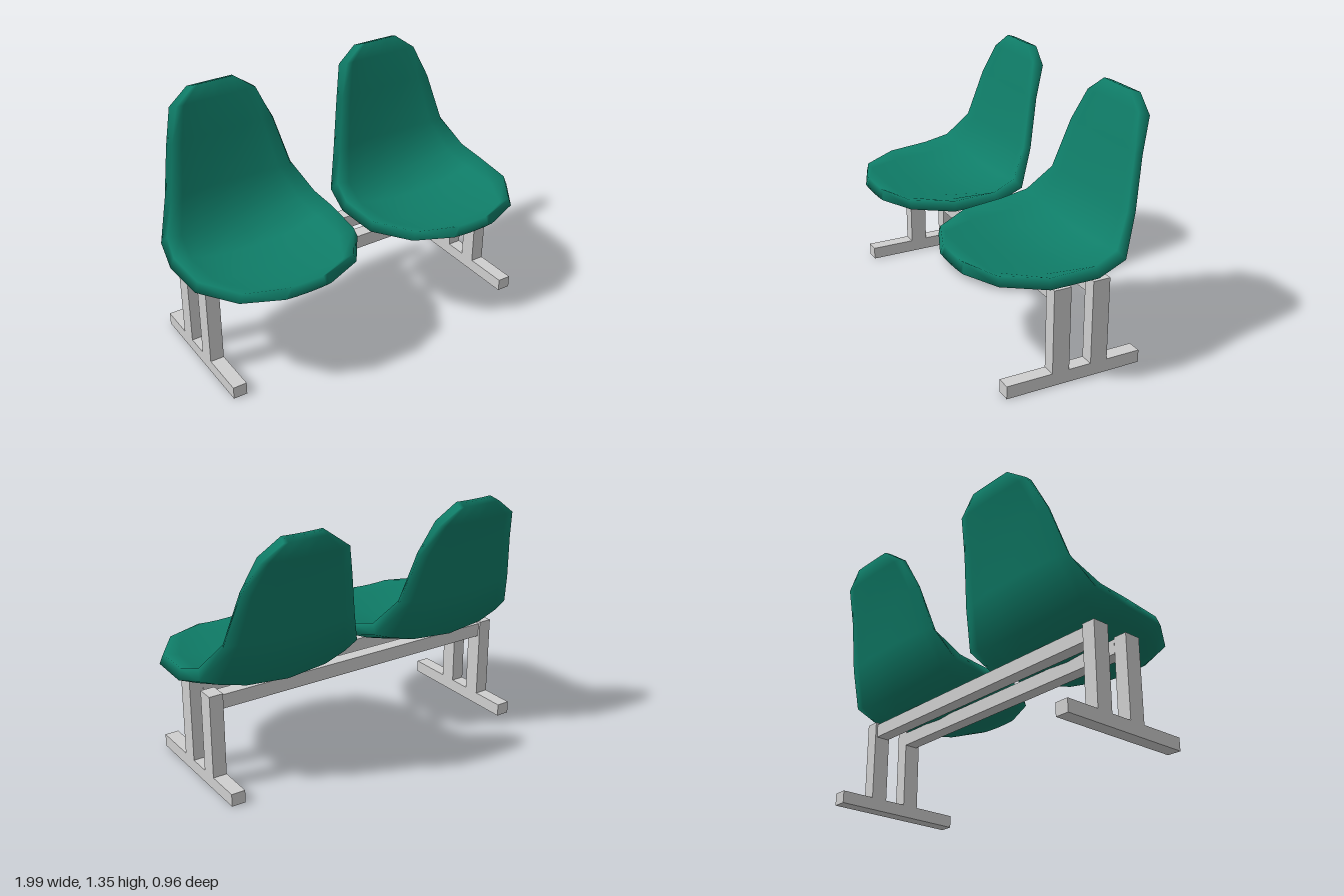
import * as THREE from 'three';

const green = new THREE.MeshStandardMaterial({ color: 0x0f7d68 });
green.name = 'green plastic';
const grey = new THREE.MeshStandardMaterial({ color: 0xcfcfcf });
grey.name = 'light grey metal';

// Shell stations from the front lip to the top of the back:
// half width, rim [z, y], inner centre [z, y], outer centre [z, y], rim drop towards outer
const STATIONS = [
  [0.13, [0.468, 0.62], [0.468, 0.615], [0.478, 0.56], 0.9],
  [0.335, [0.39, 0.62], [0.39, 0.60], [0.395, 0.54], 0.6],
  [0.47, [0.19, 0.625], [0.19, 0.565], [0.21, 0.51], 0.45],
  [0.485, [-0.04, 0.64], [-0.05, 0.545], [-0.07, 0.485], 0.37],
  [0.455, [-0.175, 0.68], [-0.225, 0.605], [-0.28, 0.555], 0.4],
  [0.372, [-0.28, 0.82], [-0.312, 0.815], [-0.35, 0.82], 0.5],
  [0.31, [-0.35, 1.09], [-0.365, 1.085], [-0.402, 1.07], 0.6],
  [0.245, [-0.405, 1.26], [-0.415, 1.255], [-0.47, 1.24], 0.8],
  [0.13, [-0.426, 1.345], [-0.428, 1.343], [-0.48, 1.325], 0.95],
];
const ACROSS = [-1, -0.8, -0.5, 0, 0.5, 0.8, 1];

function shellGeometry() {
  const n = ACROSS.length, ring = 2 * n;
  const pos = [], idx = [];
  const mix = (a, b, t) => [a[0] + (b[0] - a[0]) * t, a[1] + (b[1] - a[1]) * t];
  for (const [hw, rim, inner, outer, drop] of STATIONS) {
    const rimOuter = mix(rim, outer, drop);
    const bend = (u) => Math.pow(Math.abs(u), 2.2);
    for (const u of ACROSS) {
      const [z, y] = mix(inner, rim, bend(u));
      pos.push(u * (hw - 0.018), y, z);
    }
    for (const u of [...ACROSS].reverse()) {
      const [z, y] = mix(outer, rimOuter, bend(u));
      pos.push(u * hw, y, z);
    }
  }
  const quad = (a, b, c, d) => idx.push(a, b, c, a, c, d);
  const last = STATIONS.length - 1;
  for (let i = 0; i < last; i++) {
    for (let j = 0; j < ring; j++) {
      const k = (j + 1) % ring, a = i * ring, b = a + ring;
      quad(a + j, a + k, b + k, b + j);
    }
  }
  // front lip and top edge
  for (let k = 0; k < n - 1; k++) {
    const o = ring - 1 - k, e = last * ring;
    quad(o, o - 1, k + 1, k);
    quad(e + k, e + k + 1, e + o - 1, e + o);
  }
  const g = new THREE.BufferGeometry();
  g.setAttribute('position', new THREE.Float32BufferAttribute(pos, 3));
  g.setIndex(idx);
  g.computeVertexNormals();
  return g;
}

function box(name, w, h, d, x, y, z) {
  const m = new THREE.Mesh(new THREE.BoxGeometry(w, h, d), grey);
  m.name = name;
  m.position.set(x, y, z);
  return m;
}

export function createModel() {
  const model = new THREE.Group();
  model.name = 'doubleSeatBench';

  // two seat shells
  const shell = shellGeometry();
  for (const side of [1, -1]) {
    const seat = new THREE.Mesh(shell, green);
    seat.name = side > 0 ? 'leftSeat' : 'rightSeat';
    seat.position.x = side * 0.512;
    model.add(seat);
  }

  // end frames: foot bar with two posts
  for (const side of [1, -1]) {
    const frame = new THREE.Group();
    frame.name = side > 0 ? 'leftLegFrame' : 'rightLegFrame';
    const x = side * 0.863;
    frame.add(box('foot', 0.075, 0.068, 0.745, x, 0.034, 0.005));
    frame.add(box('frontPost', 0.075, 0.447, 0.093, x, 0.2915, 0.083));
    frame.add(box('backPost', 0.075, 0.447, 0.093, x, 0.2915, -0.132));
    model.add(frame);
  }

  // cross rails under the seats
  model.add(box('frontRail', 1.652, 0.075, 0.075, 0, 0.466, 0.073));
  model.add(box('backRail', 1.652, 0.075, 0.075, 0, 0.466, -0.13));
  return model;
}
